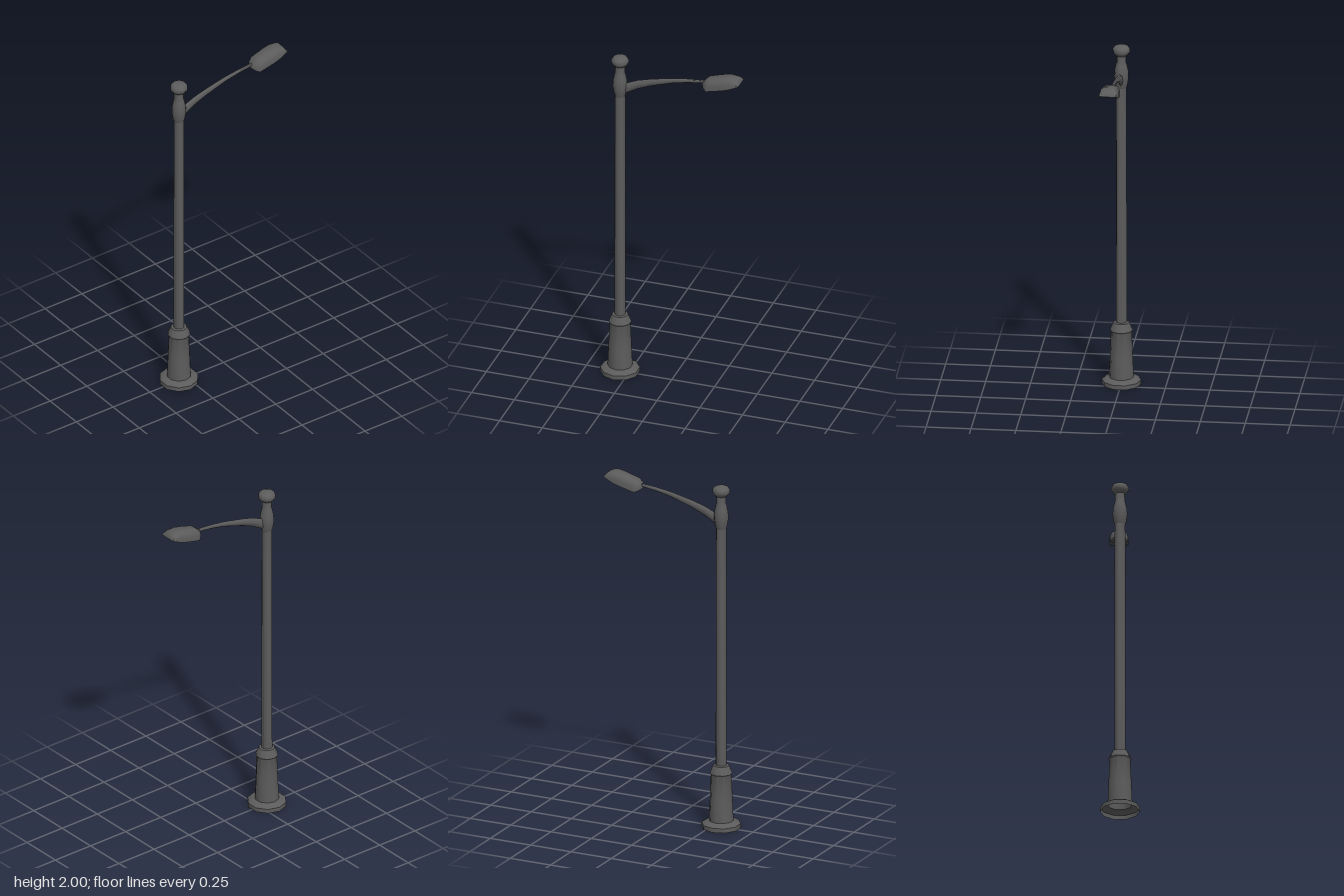
import * as THREE from 'three';
import { toCreasedNormals, mergeVertices } from 'three/addons/utils/BufferGeometryUtils.js';

const POLE_X = -0.303;
const material = new THREE.MeshStandardMaterial({ color: 0x5c5c5c, side: THREE.DoubleSide });

function addPart(group, name, geometry, crease = 0.7) {
  const mesh = new THREE.Mesh(toCreasedNormals(geometry, crease), material);
  mesh.name = name;
  group.add(mesh);
  return mesh;
}

// Ten-sided turned part from [radius, height] pairs, bottom to top
function addTurned(group, name, profile) {
  const points = profile.map(([r, y]) => new THREE.Vector2(r, y));
  addPart(group, name, new THREE.LatheGeometry(points, 10)).position.x = POLE_X;
}

// Skin over closed rings of [x, y, z] points, with both ends filled
function loft(rings) {
  const n = rings[0].length;
  const positions = rings.flat(2);
  const index = [];
  for (let i = 0; i < rings.length - 1; i++) {
    for (let j = 0; j < n; j++) {
      const k = (j + 1) % n;
      const a = i * n + j, b = a + n, c = (i + 1) * n + k, d = i * n + k;
      index.push(a, b, c, a, c, d);
    }
  }
  const last = (rings.length - 1) * n;
  for (let j = 1; j < n - 1; j++) {
    index.push(0, j, j + 1, last, last + j + 1, last + j);
  }
  const geometry = new THREE.BufferGeometry();
  geometry.setAttribute('position', new THREE.Float32BufferAttribute(positions, 3));
  geometry.setIndex(index);
  return mergeVertices(geometry);
}

export function createModel() {
  const group = new THREE.Group();
  group.name = 'streetLamp';

  // Hollow flared base and collar
  addTurned(group, 'base', [
    [0.11, 0], [0.11, 0.025], [0.088, 0.038], [0.069, 0.042], [0.064, 0.16],
    [0.058, 0.31], [0.064, 0.318], [0.057, 0.335], [0.045, 0.363], [0.03, 0.366],
  ]);

  // Plain shaft
  addTurned(group, 'pole', [[0.031, 0.34], [0.029, 1.76]]);

  // Swollen arm joint and neck
  addTurned(group, 'armJoint', [
    [0.029, 1.75], [0.035, 1.77], [0.041, 1.81], [0.039, 1.85], [0.031, 1.885], [0.027, 1.9], [0.027, 1.95],
  ]);

  // Rounded cap on top
  addTurned(group, 'finial', [
    [0.027, 1.938], [0.04, 1.948], [0.049, 1.962], [0.049, 1.978], [0.04, 1.992], [0.022, 1.999], [0, 2],
  ]);

  // Tapered arm: x, centre height, half height, half depth
  const armSections = [
    [-0.295, 1.79, 0.036, 0.014], [-0.26, 1.808, 0.031, 0.013], [-0.2, 1.838, 0.027, 0.012],
    [-0.125, 1.864, 0.022, 0.011], [-0.05, 1.885, 0.018, 0.01], [0.01, 1.901, 0.015, 0.009],
    [0.1, 1.917, 0.012, 0.008], [0.2, 1.928, 0.009, 0.008],
  ];
  addPart(group, 'arm', loft(armSections.map(([x, y, h, w]) =>
    Array.from({ length: 8 }, (_, j) => {
      const t = (j / 8) * Math.PI * 2;
      return [x, y + h * Math.sin(t), w * Math.cos(t)];
    }))), 1.0);

  // Lamp head with recessed underside: x, bottom, top, half width, recess
  const headSections = [
    [0.183, 1.909, 1.926, 0.016, 0], [0.195, 1.901, 1.94, 0.035, 0], [0.215, 1.893, 1.956, 0.048, 0],
    [0.222, 1.895, 1.959, 0.049, 0.024], [0.3, 1.916, 1.981, 0.053, 0.03], [0.34, 1.927, 1.99, 0.052, 0.028],
    [0.375, 1.942, 1.985, 0.05, 0.018], [0.39, 1.949, 1.979, 0.049, 0], [0.405, 1.956, 1.959, 0.048, 0],
  ];
  addPart(group, 'lampHead', loft(headSections.map(([x, b, t, w, recess]) => {
    const half = [
      [0.78, b], [1, b], [1, b + (t - b) * 0.5], [0.86, b + (t - b) * 0.8], [0.5, t],
    ];
    const left = half.map(([s, y]) => [x, y, s * w]);
    const right = half.map(([s, y]) => [x, y, -s * w]).reverse();
    return [...left, ...right, [x, b + recess, -0.72 * w], [x, b + recess, 0.72 * w]];
  })), 0.75);

  return group;
}
